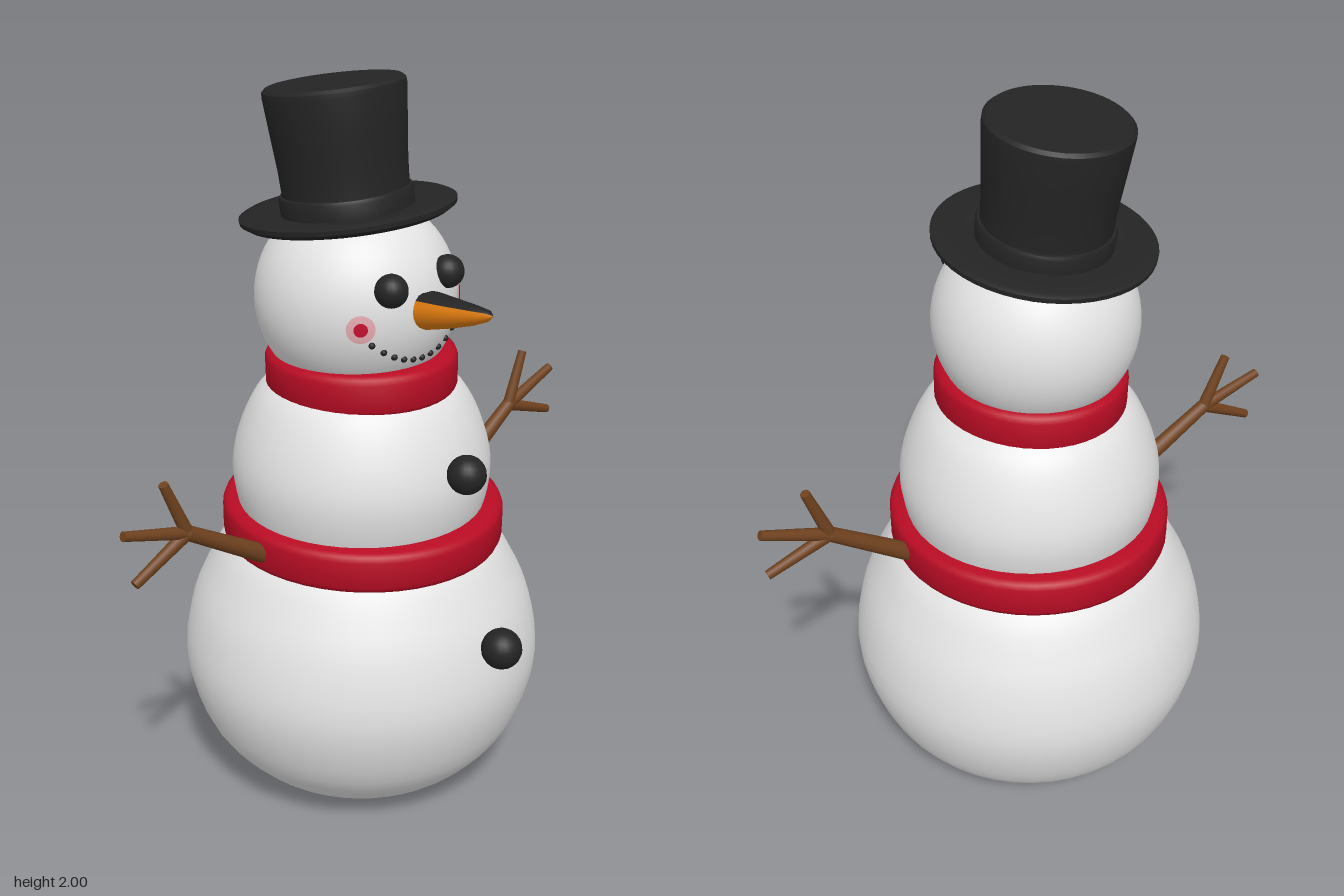
import * as THREE from 'three';
import { toCreasedNormals } from 'three/addons/utils/BufferGeometryUtils.js';

const mat = (name, color) => Object.assign(new THREE.MeshStandardMaterial({ color }), { name });
const snow = mat('snow white', 0xe4e4e4);
const red = mat('scarf red', 0xb80c24);
const cheekRed = mat('cheek red', 0xc81030);
const pink = mat('blush pink', 0xf0b4ba);
const coal = mat('coal black', 0x242424);
const wood = mat('twig brown', 0x70421f);
const orange = mat('carrot orange', 0xe07c10);

const V = (x, y, z) => new THREE.Vector3(x, y, z);
const UP = V(0, 1, 0);

export function createModel() {
  const model = new THREE.Group();
  model.name = 'snowman';

  const add = (name, geometry, material, pos = [0, 0, 0], parent = model) => {
    const mesh = new THREE.Mesh(geometry, material);
    mesh.name = name;
    mesh.position.set(...pos);
    parent.add(mesh);
    return mesh;
  };
  const lathe = (pts, crease = 0.7) =>
    toCreasedNormals(new THREE.LatheGeometry(pts.map(p => new THREE.Vector2(p[0], p[1])), 48), crease);
  // Smooth snowball profile with a flat, closed foot
  const snowball = (profile) => {
    const curve = new THREE.SplineCurve(profile.map(p => new THREE.Vector2(...p)));
    const pts = curve.getPoints(28).map(p => [Math.max(p.x, 0), p.y]);
    return lathe([[0, profile[0][1]], ...pts]);
  };

  // Three balls of snow
  add('lowerBody', snowball([[0.2, 0], [0.28, 0.025], [0.37, 0.09], [0.455, 0.2], [0.505, 0.37],
    [0.485, 0.53], [0.435, 0.65], [0.36, 0.76], [0.2, 0.85], [0, 0.88]]), snow, [-0.035, 0, 0.0]).position.z = -0.015;
  add('upperBody', snowball([[0.26, 0.7], [0.325, 0.8], [0.355, 0.92], [0.347, 1.02], [0.305, 1.13],
    [0.25, 1.2], [0.14, 1.27], [0, 1.29]]), snow, [-0.025, 0, -0.008]);
  const headC = V(-0.026, 1.43, 0.01), headR = 0.27;
  add('head', new THREE.SphereGeometry(headR, 48, 32), snow, headC.toArray());

  // Scarf bands: rounded rectangular section, slightly tilted
  const scarf = (name, outer, inner, h, pos, rx, rz, sz) => {
    const c = 0.02, t = h / 2;
    const g = lathe([[inner, -t], [outer - c, -t], [outer - c * 0.3, -t + c * 0.3], [outer, -t + c],
      [outer, t - c], [outer - c * 0.3, t - c * 0.3], [outer - c, t], [inner, t], [inner, -t]], 0.9);
    const m = add(name, g, red, pos);
    m.rotation.set(rx, 0, rz);
    m.scale.z = sz;
  };
  scarf('neckScarf', 0.265, 0.2, 0.11, [-0.015, 1.232, 0.002], 0.035, -0.012, 0.955);
  scarf('waistScarf', 0.398, 0.3, 0.112, [-0.026, 0.799, -0.012], 0.022, -0.035, 0.965);

  // Top hat, leaning back and sideways
  const hat = new THREE.Group();
  hat.name = 'topHat';
  hat.position.set(-0.036, 1.645, 0.027);
  hat.rotation.set(0.075, 0, 0.08);
  model.add(hat);
  add('hatBrim', lathe([[0, -0.022], [0.2, -0.018], [0.265, -0.004], [0.283, 0.008], [0.284, 0.02],
    [0.272, 0.026], [0.2, 0.016], [0, 0.016]]), coal, [0, 0, 0], hat);
  add('hatCrown', lathe([[0.168, 0], [0.165, 0.06], [0.168, 0.13], [0.175, 0.21], [0.184, 0.315],
    [0.183, 0.328], [0.174, 0.336], [0, 0.336]]), coal, [0, 0, 0], hat);
  add('hatBand', lathe([[0.16, 0.012], [0.174, 0.012], [0.176, 0.055], [0.172, 0.064], [0.16, 0.066]]), coal, [0, 0, 0], hat);

  // Coal eyes and buttons
  const ball = (name, r, pos) => add(name, new THREE.SphereGeometry(r, 20, 14), coal, pos);
  ball('leftEye', 0.043, [0.218, 1.52, -0.082]);
  ball('rightEye', 0.043, [0.218, 1.505, 0.118]);
  ball('upperButton', 0.052, [0.367, 1.023, -0.012]);
  ball('lowerButton', 0.055, [0.485, 0.553, -0.038]);

  // Carrot nose: rings along x, with the upper faces in a darker colour
  const rings = [[0.2, 0.05, 1.441], [0.25, 0.051, 1.442], [0.32, 0.04, 1.449],
    [0.39, 0.027, 1.458], [0.435, 0.015, 1.465], [0.452, 0, 1.467]];
  const seg = 20;
  const noseHalf = (from, to) => {
    const pos = [], idx = [], n = to - from;
    rings.forEach(([x, r, y], i) => {
      const z = 0.013 - 0.012 * i / 5;
      for (let j = from; j <= to; j++) {
        const a = j / seg * Math.PI * 2;
        pos.push(x, y + r * Math.min(Math.cos(a), 0.88), z + r * Math.sin(a));
      }
    });
    for (let i = 0; i < rings.length - 1; i++) for (let j = 0; j < n; j++) {
      const a = i * (n + 1) + j, b = a + n + 1;
      idx.push(a, a + 1, b, b, a + 1, b + 1);
    }
    const g = new THREE.BufferGeometry();
    g.setAttribute('position', new THREE.Float32BufferAttribute(pos, 3));
    g.setIndex(idx);
    g.computeVertexNormals();
    return g;
  };
  add('noseTop', noseHalf(-3, 3), coal);
  add('noseCarrot', noseHalf(3, 17), orange);

  // Point on the face of the head for a given height and depth
  const onHead = (y, z) => {
    const dy = y - headC.y, dz = z - headC.z;
    return V(headC.x + Math.sqrt(headR * headR - dy * dy - dz * dz), y, z);
  };

  // Cheeks: thin curved discs that follow the head
  const cheek = (name, y, z, r, lift, material) => {
    const g = new THREE.SphereGeometry(headR + lift, 24, 3, 0, Math.PI * 2, 0, r / headR);
    const m = add(name, g, material, headC.toArray());
    m.quaternion.setFromUnitVectors(UP, onHead(y, z).sub(headC).normalize());
  };
  cheek('rightBlush', 1.41, 0.185, 0.037, 0.002, pink);
  cheek('rightCheek', 1.41, 0.185, 0.018, 0.004, cheekRed);
  cheek('leftBlush', 1.435, -0.166, 0.037, 0.002, pink);
  cheek('leftCheek', 1.435, -0.166, 0.029, 0.004, cheekRed);

  // Smile made of small pebbles
  for (let i = 0; i < 11; i++) {
    const d = 0.148 - i * 0.0305;
    const p = onHead(1.309 + 2.9 * d * d - 0.04 * d, 0.01 + d);
    add('mouthPebble', new THREE.SphereGeometry(0.009, 8, 6), coal, p.toArray());
  }

  // Twig arms: tapered limb and three fingers, points as [z, y]
  const twig = (name, a, b, ra, rb) => {
    const p = V(-0.014, a[1], a[0]), q = V(-0.014, b[1], b[0]);
    const m = add(name, new THREE.CylinderGeometry(rb, ra, p.distanceTo(q), 10), wood,
      p.clone().add(q).multiplyScalar(0.5).toArray());
    m.quaternion.setFromUnitVectors(UP, q.sub(p).normalize());
  };
  const arm = (name, root, fork, tips) => {
    twig(name, root, fork, 0.027, 0.02);
    add(name + 'Knuckle', new THREE.SphereGeometry(0.02, 10, 8), wood, [-0.014, fork[1], fork[0]]);
    tips.forEach(t => twig(name + 'Finger', fork, t, 0.018, 0.013));
  };
  arm('rightArm', [0.31, 0.76], [0.6, 0.925], [[0.79, 0.975], [0.665, 1.075], [0.765, 0.835]]);
  arm('leftArm', [-0.32, 0.76], [-0.605, 0.968], [[-0.66, 1.125], [-0.79, 1.045], [-0.785, 0.91]]);

  return model;
}
